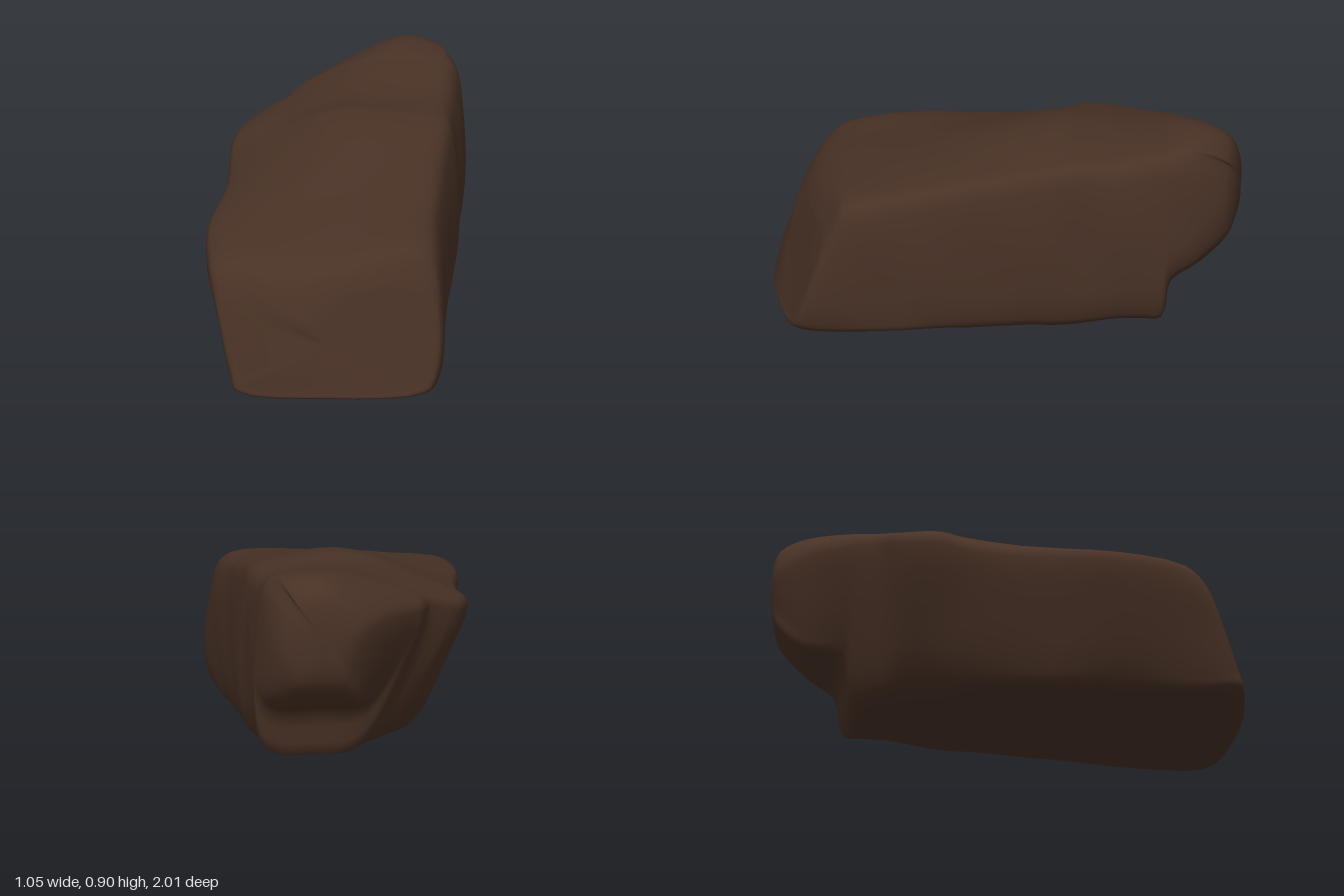
import * as THREE from 'three';

// Cross-sections from front to back: z at ground, lean of z with height, bow of z with x,
// left, right, underside left, underside right, bottom, left shoulder, top middle, top right
const SECTIONS = [
  [1.035, -0.33, 1, -0.43, 0.50, -0.35, 0.46, 0.02, 0.40, 0.45, 0.46],
  [1.0, -0.31, 0.9, -0.46, 0.515, -0.36, 0.47, 0.01, 0.47, 0.52, 0.53],
  [0.84, -0.18, 0.4, -0.49, 0.52, -0.33, 0.48, 0.0, 0.53, 0.58, 0.60],
  [0.45, -0.05, 0, -0.52, 0.505, -0.28, 0.48, 0.01, 0.57, 0.66, 0.66],
  [0.15, 0, 0, -0.475, 0.50, -0.27, 0.45, 0.02, 0.59, 0.74, 0.72],
  [-0.21, 0, 0, -0.47, 0.51, -0.20, 0.41, 0.02, 0.61, 0.835, 0.80],
  [-0.33, 0, 0, -0.465, 0.50, -0.12, 0.40, 0.03, 0.65, 0.815, 0.81],
  [-0.48, 0, 0, -0.41, 0.50, -0.03, 0.38, 0.045, 0.67, 0.825, 0.82],
  [-0.58, 0, 0, -0.28, 0.50, 0.04, 0.38, 0.05, 0.72, 0.85, 0.84],
  [-0.67, 0, 0, -0.24, 0.50, 0.10, 0.39, 0.06, 0.73, 0.87, 0.86],
  [-0.71, 0, 0, -0.21, 0.50, 0.03, 0.42, 0.25, 0.73, 0.885, 0.87],
  [-0.88, 0, -0.5, -0.05, 0.47, 0.08, 0.38, 0.32, 0.75, 0.90, 0.87],
  [-0.99, 0, -0.5, 0.06, 0.40, 0.14, 0.35, 0.43, 0.73, 0.85, 0.80],
];
const AROUND = 56;
const STEPS = 3;
const lerp = THREE.MathUtils.lerp;

// One rock outline, counterclockwise seen from the front
function outline([z0, lean, bow, xL, xR, uL, uR, yB, yS, yM, yR], scale = 1, push = 0) {
  const w = xR - xL, xM = xL + 0.54 * w, h = yR - yB;
  const pts = [
    [uL, yB + 0.01], [lerp(uL, uR, 0.5), yB], [uR, yB + 0.005],
    [lerp(uR, xR, 0.75), yB + 0.06], [xR, yB + 0.45 * h], [xR - 0.025, yR - 0.09],
    [xR - 0.06, yR - 0.025], [xR - 0.14 * w, yR], [xM, yM],
    [lerp(xL, xM, 0.5), lerp(yS, yM, 0.62)], [xL + 0.02, yS],
    [xL, yS - 0.05], [lerp(uL, xL, 0.68), lerp(yB, yS, 0.5)], [lerp(uL, xL, 0.25), yB + 0.07],
  ];
  const cx = (xL + xR) / 2, cy = (yB + yM) / 2;
  return pts.map(([px, py]) => {
    const x = lerp(cx, px, scale), y = lerp(cy, py, scale), d = x + 0.05;
    return new THREE.Vector3(x, y, z0 + lean * y - bow * (d > 0 ? 0.22 * d : -0.15 * d) + push);
  });
}

// Gentle irregular swelling of the stone surface
function weather(p) {
  const b = Math.sin(9 * p.x + 6 * p.z + 1) * Math.sin(11 * p.y - 5 * p.z) + 0.5 * Math.sin(17 * p.z + 13 * p.x + 8 * p.y);
  const cy = 0.36 - 0.22 * p.z;
  p.x += 0.008 * b * p.x;
  p.y = Math.max(0, p.y + 0.008 * b * (p.y - cy));
  return p;
}

function rockGeometry() {
  const first = SECTIONS[0], last = SECTIONS[SECTIONS.length - 1];
  const controls = [
    outline(first, 0.03, 0.005), outline(first, 0.5, 0.005), outline(first, 0.9, 0.002),
    ...SECTIONS.map((s) => outline(s)),
    outline(last, 0.6, -0.03), outline(last, 0.03, -0.04),
  ];

  // Smooth each outline, then run smooth lines from front to back
  const rings = controls.map((pts) => {
    const curve = new THREE.CatmullRomCurve3(pts, true, 'centripetal');
    return Array.from({ length: AROUND }, (_, i) => curve.getPoint(i / AROUND));
  });
  const rows = (rings.length - 1) * STEPS;
  const lines = Array.from({ length: AROUND }, (_, j) =>
    new THREE.CatmullRomCurve3(rings.map((r) => r[j]), false, 'centripetal'));

  const position = [], index = [];
  for (let i = 0; i <= rows; i++) {
    for (const line of lines) position.push(...weather(line.getPoint(i / rows)).toArray());
  }
  for (let i = 0; i < rows; i++) {
    for (let j = 0; j < AROUND; j++) {
      const k = (j + 1) % AROUND;
      const a = i * AROUND + j, b = i * AROUND + k, c = a + AROUND, d = b + AROUND;
      index.push(a, c, b, b, c, d);
    }
  }
  // Close the tiny end rings
  const end = rows * AROUND;
  for (let j = 1; j < AROUND - 1; j++) {
    index.push(0, j, j + 1, end, end + j + 1, end + j);
  }
  const geometry = new THREE.BufferGeometry();
  geometry.setAttribute('position', new THREE.Float32BufferAttribute(position, 3));
  geometry.setIndex(index);
  geometry.computeVertexNormals();
  return geometry;
}

export function createModel() {
  const brownStone = new THREE.MeshStandardMaterial({ color: 0x483125 });
  brownStone.name = 'brownStone';
  const boulder = new THREE.Mesh(rockGeometry(), brownStone);
  boulder.name = 'boulder';
  const group = new THREE.Group();
  group.name = 'rock';
  group.add(boulder);
  return group;
}
